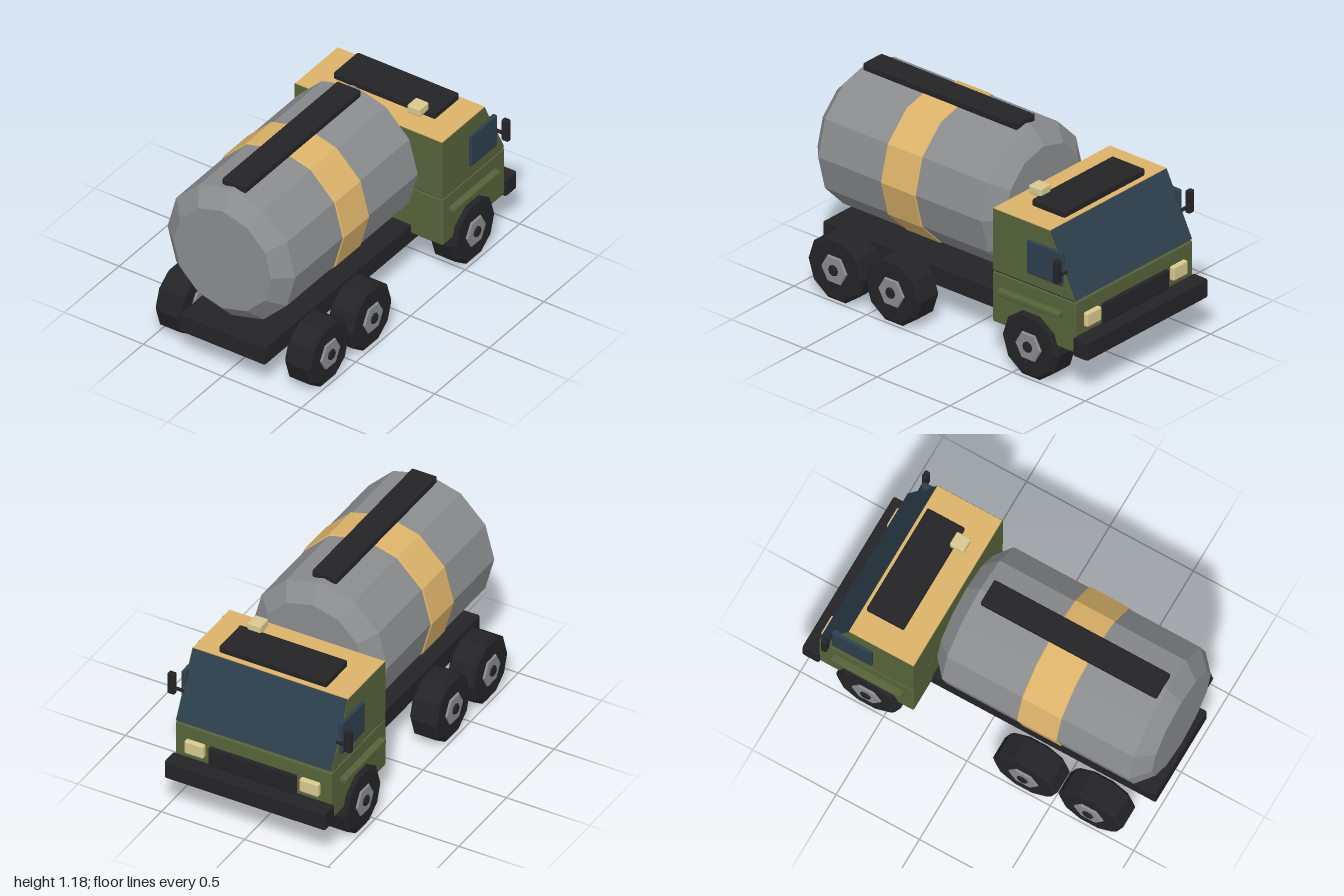
import * as THREE from 'three';
import { RoundedBoxGeometry } from 'three/addons/geometries/RoundedBoxGeometry.js';

const paint = (color) => new THREE.MeshStandardMaterial({ color, flatShading: true });
const GREEN = paint(0x56633a), SAND = paint(0xdcb36a), GLASS = paint(0x2d3f4d);
const BLACK = paint(0x242427), STEEL = paint(0x8a8c8e), LAMP = paint(0xd8c890);

export function createModel() {
  const truck = new THREE.Group();
  truck.name = 'tankTruck';

  const add = (name, geometry, material, parent = truck) => {
    const mesh = new THREE.Mesh(geometry, material);
    mesh.name = name;
    parent.add(mesh);
    return mesh;
  };

  // Box with chamfered edges, given by its limits on each axis
  const box = (name, material, [x0, x1], [y0, y1], [z0, z1], bevel = 0.008) => {
    const geometry = new RoundedBoxGeometry(x1 - x0, y1 - y0, z1 - z0, 1, bevel);
    geometry.translate((x0 + x1) / 2, (y0 + y1) / 2, (z0 + z1) / 2);
    return add(name, geometry, material);
  };

  // Same box on both sides of the truck
  const boxPair = (name, material, [x0, x1], y, z, bevel) => {
    box(name + 'Left', material, [x0, x1], y, z, bevel);
    box(name + 'Right', material, [-x1, -x0], y, z, bevel);
  };

  // Faceted solid of revolution from [radius, height] pairs
  const turned = (points, sides) =>
    new THREE.LatheGeometry(points.map(([r, h]) => new THREE.Vector2(r, h)), sides);

  // Side outline in (z, y), extruded across the width
  const sidePanel = (outline, halfWidth) => {
    const shape = new THREE.Shape(outline.map(([z, y]) => new THREE.Vector2(-z, y)));
    const geometry = new THREE.ExtrudeGeometry(shape, { depth: halfWidth * 2, bevelEnabled: false });
    return geometry.translate(0, 0, -halfWidth).rotateY(Math.PI / 2);
  };

  // Chassis and bumper
  box('chassis', BLACK, [-0.27, 0.27], [0.18, 0.293], [-0.83, 1]);
  box('bumper', BLACK, [-0.483, 0.483], [0.225, 0.335], [-1, -0.9], 0.01);

  // Tank with tapered ends, band and top walkway
  const tank = add('tank', turned([
    [0, -0.287], [0.31, -0.287], [0.405, -0.205], [0.405, 0.915], [0.31, 1], [0, 1],
  ], 12), STEEL);
  const band = add('tankBand', turned([
    [0.39, 0.245], [0.407, 0.245], [0.412, 0.25], [0.412, 0.478], [0.407, 0.483], [0.39, 0.483],
  ], 12), SAND);
  for (const part of [tank, band]) {
    part.rotation.x = Math.PI / 2;
    part.position.y = 0.75;
  }
  box('tankWalkway', BLACK, [-0.075, 0.075], [1.138, 1.18], [-0.163, 0.893]);

  // Cab body: lower box, dark seam, sloped upper half
  box('cabLower', GREEN, [-0.47, 0.47], [0.238, 0.532], [-0.906, -0.338]);
  box('cabSeam', BLACK, [-0.463, 0.463], [0.52, 0.552], [-0.895, -0.345], 0.004);
  add('cabUpper', sidePanel([
    [-0.338, 0.54], [-0.338, 0.896], [-0.728, 0.896], [-0.903, 0.54],
  ], 0.468), GREEN);
  add('windshield', sidePanel([
    [-0.893, 0.544], [-0.72, 0.896], [-0.731, 0.896], [-0.906, 0.544],
  ], 0.464), GLASS);
  add('roofPanel', sidePanel([
    [-0.341, 0.89], [-0.341, 0.9], [-0.729, 0.9], [-0.729, 0.89],
  ], 0.465), SAND);

  // Cab details
  boxPair('sideWindow', GLASS, [0.455, 0.484], [0.605, 0.8], [-0.822, -0.583]);
  boxPair('sideRail', GREEN, [0.46, 0.507], [0.421, 0.455], [-0.82, -0.395]);
  boxPair('mirrorArm', BLACK, [0.455, 0.52], [0.68, 0.695], [-0.842, -0.825], 0.003);
  boxPair('mirror', BLACK, [0.508, 0.551], [0.65, 0.782], [-0.85, -0.818]);
  boxPair('headlight', LAMP, [0.288, 0.402], [0.37, 0.45], [-0.933, -0.895]);
  box('grille', BLACK, [-0.262, 0.262], [0.335, 0.45], [-0.925, -0.895]);
  box('roofHatch', BLACK, [-0.322, 0.322], [0.902, 0.944], [-0.705, -0.482]);
  box('beacon', LAMP, [0.19, 0.272], [0.934, 0.985], [-0.5, -0.415]);

  // Wheels: tyre, hexagonal hub and cap, each turned about the axle
  const tyre = turned([
    [0, -0.081], [0.172, -0.081], [0.194, -0.064], [0.194, 0.064], [0.172, 0.081], [0, 0.081],
  ], 10);
  const hub = turned([[0, -0.092], [0.082, -0.092], [0.088, -0.086], [0.088, 0.086], [0.082, 0.092], [0, 0.092]], 6);
  const cap = turned([[0, 0], [0.032, 0], [0.032, 0.097], [0.027, 0.102], [0, 0.102]], 8);
  [['front', -0.606], ['middle', 0.335], ['rear', 0.727]].forEach(([axle, z]) => {
    for (const side of [1, -1]) {
      const wheel = new THREE.Group();
      wheel.name = `${axle}Wheel${side > 0 ? 'Left' : 'Right'}`;
      wheel.position.set(side * 0.41, 0.187, z);
      wheel.rotation.z = -side * Math.PI / 2;
      add('tyre', tyre, BLACK, wheel);
      add('hub', hub, STEEL, wheel);
      add('hubCap', cap, BLACK, wheel);
      truck.add(wheel);
    }
  });

  return truck;
}
